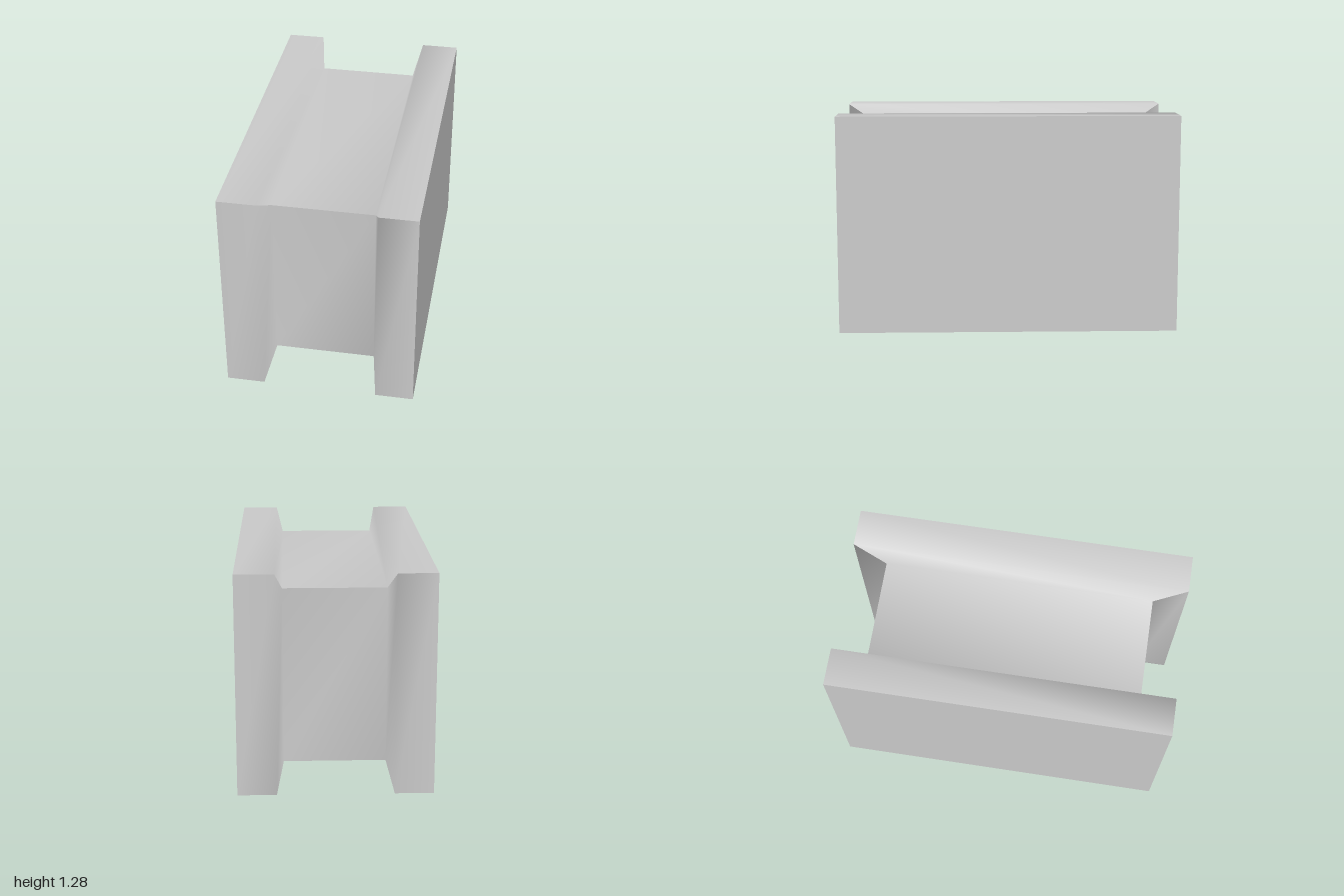
import * as THREE from 'three';

const HEIGHT = 1.28;

// Cross-sections from -x to +x: x position, half depth, inset from top and bottom
const sections = [
  { x: -0.557, depth: 1, inset: 0 },
  { x: -0.334, depth: 1, inset: 0 },
  { x: -0.294, depth: 0.805, inset: 0.126 },
  { x: 0.294, depth: 0.805, inset: 0.126 },
  { x: 0.334, depth: 1, inset: 0 },
  { x: 0.557, depth: 1, inset: 0 },
];

// Smooth strip of quads between two edge lines
function strip(name, material, lower, upper) {
  const index = [];
  for (let i = 0; i < lower.length - 1; i++) {
    const a = i * 2;
    index.push(a, a + 2, a + 3, a, a + 3, a + 1);
  }
  const points = lower.flatMap((p, i) => [...p, ...upper[i]]);
  const geometry = new THREE.BufferGeometry();
  geometry.setAttribute('position', new THREE.Float32BufferAttribute(points, 3));
  geometry.setIndex(index);
  geometry.computeVertexNormals();
  const mesh = new THREE.Mesh(geometry, material);
  mesh.name = name;
  return mesh;
}

// Corner of a cross-section: top or bottom, sz = +1 front, -1 back
const corner = (top, sz) => (s) => [s.x, top ? HEIGHT - s.inset : s.inset, sz * s.depth];

export function createModel() {
  const group = new THREE.Group();
  group.name = 'flangedChannel';
  const gray = new THREE.MeshStandardMaterial({ color: 0xcccccc, side: THREE.DoubleSide });
  gray.name = 'plainGray';

  const add = (name, list, low, high) =>
    group.add(strip(name, gray, list.map(low), list.map(high)));
  const reversed = [...sections].reverse();

  // Front, back and top skins running over both flanges and the web
  add('frontWall', sections, corner(false, 1), corner(true, 1));
  add('backWall', reversed, corner(false, -1), corner(true, -1));
  add('topWall', sections, corner(true, 1), corner(true, -1));

  // The underside is open except for the sloped inner faces of the flanges
  add('rightFlangeLowerSlope', sections.slice(1, 3), corner(false, -1), corner(false, 1));
  add('leftFlangeLowerSlope', sections.slice(3, 5), corner(false, -1), corner(false, 1));

  // Flat outer faces
  for (const [name, s, side] of [['rightOuterFace', sections[0], -1], ['leftOuterFace', sections[5], 1]]) {
    const near = corner(false, side)(s), far = corner(false, -side)(s);
    const nearTop = corner(true, side)(s), farTop = corner(true, -side)(s);
    group.add(strip(name, gray, [near, far], [nearTop, farTop]));
  }
  return group;
}
